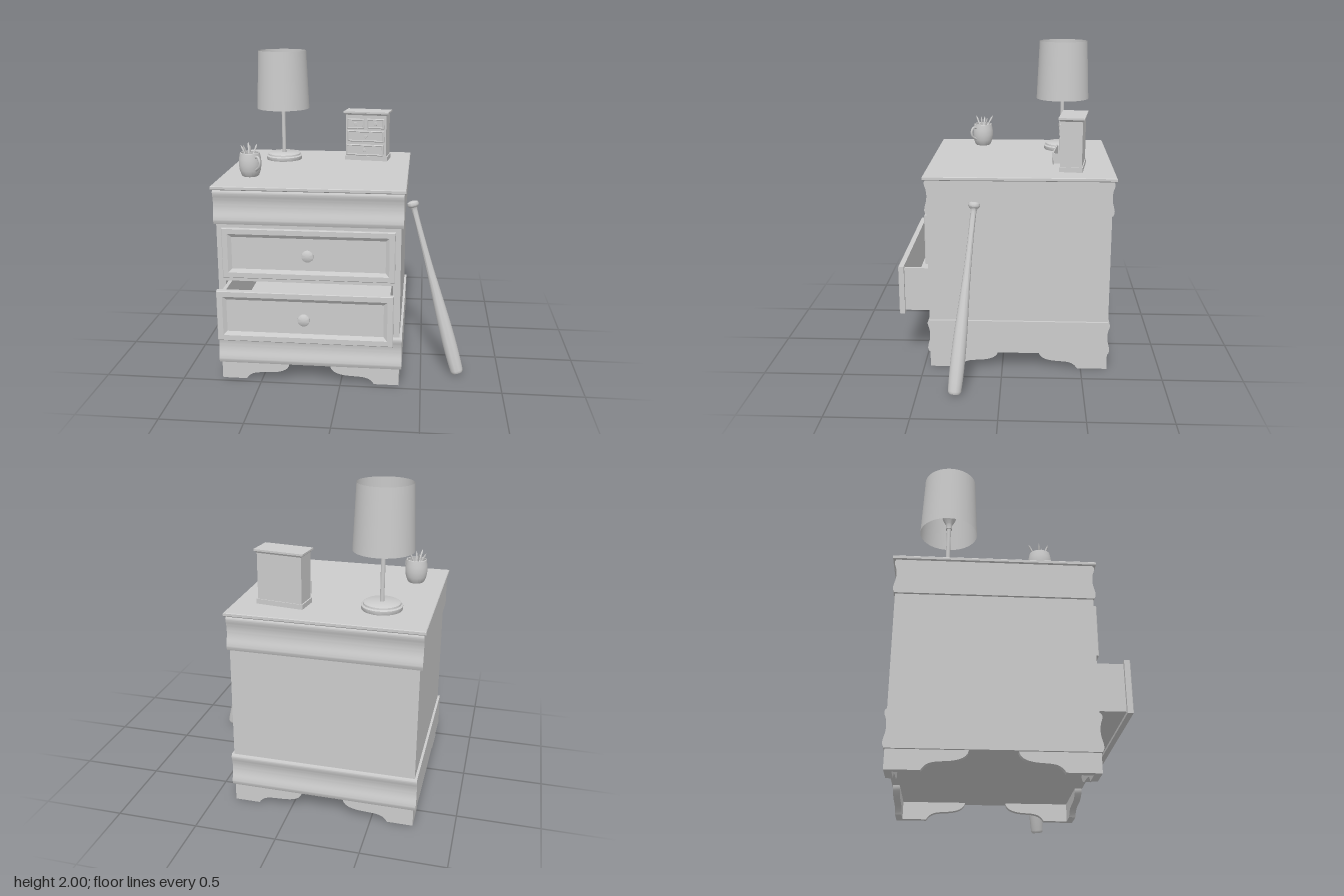
import * as THREE from 'three';
import { toCreasedNormals } from 'three/addons/utils/BufferGeometryUtils.js';

const grey = new THREE.MeshStandardMaterial({ color: 0xcccccc });
const greyDouble = new THREE.MeshStandardMaterial({ color: 0xcccccc, side: THREE.DoubleSide });
const V = (x, y, z) => new THREE.Vector3(x, y, z);

function add(parent, name, geometry, x = 0, y = 0, z = 0, material = grey) {
  const mesh = new THREE.Mesh(geometry, material);
  mesh.name = name;
  mesh.position.set(x, y, z);
  parent.add(mesh);
  return mesh;
}

function group(parent, name, x = 0, y = 0, z = 0) {
  const g = new THREE.Group();
  g.name = name;
  g.position.set(x, y, z);
  parent.add(g);
  return g;
}

// Box given by its minimum and maximum corners
function box(parent, name, [x0, y0, z0], [x1, y1, z1]) {
  return add(parent, name, new THREE.BoxGeometry(x1 - x0, y1 - y0, z1 - z0),
    (x0 + x1) / 2, (y0 + y1) / 2, (z0 + z1) / 2);
}

function lathe(points, segments = 40) {
  return toCreasedNormals(new THREE.LatheGeometry(points.map(p => new THREE.Vector2(...p)), segments), 0.6);
}

// Closed solid from rectangular rings [halfWidth, halfHeight, z], back to front
function rectLoft(rings) {
  const pos = [];
  const corners = rings.map(([w, h, z]) => [[-w, -h, z], [w, -h, z], [w, h, z], [-w, h, z]]);
  const quad = (a, b, c, d) => pos.push(...a, ...b, ...c, ...a, ...c, ...d);
  for (let i = 0; i < rings.length - 1; i++) {
    for (let j = 0; j < 4; j++) {
      const k = (j + 1) % 4;
      quad(corners[i][j], corners[i][k], corners[i + 1][k], corners[i + 1][j]);
    }
  }
  quad(...corners[corners.length - 1]);
  quad(...[...corners[0]].reverse());
  const g = new THREE.BufferGeometry();
  g.setAttribute('position', new THREE.Float32BufferAttribute(pos, 3));
  g.computeVertexNormals();
  return g;
}

// Drawer front with a bevelled, sunken panel
const drawerFace = (w, h, d, border, bevel, sink) => rectLoft([
  [w, h, 0], [w, h, d - 0.004], [w - 0.004, h - 0.004, d],
  [w - border, h - border, d], [w - border - bevel, h - border - bevel, d - sink]]);

function knob(parent, x, y, z, s = 1) {
  const g = lathe([[0, 0], [0.02, 0], [0.015, 0.006], [0.013, 0.014], [0.03, 0.017],
    [0.037, 0.022], [0.036, 0.028], [0.025, 0.033], [0, 0.035]].map(p => p.map(v => v * s)), 28);
  g.rotateX(Math.PI / 2);
  add(parent, 'knob', g, x, y, z);
}

// Open-topped drawer box; front edge at z = 0, running back by depth
function tray(parent, hw, y0, y1, depth, t) {
  box(parent, 'drawerFloor', [-hw, y0, -depth], [hw, y0 + t, 0]);
  box(parent, 'drawerBack', [-hw, y0, -depth], [hw, y1, -depth + t]);
  for (const s of [-1, 1]) {
    const a = s * hw, b = s * (hw - t);
    box(parent, 'drawerSide', [Math.min(a, b), y0, -depth], [Math.max(a, b), y1, 0]);
  }
}

// Foot board with a scrolled cut-out
function bracket(half, inner) {
  const s = new THREE.Shape();
  s.moveTo(-half, 0);
  s.lineTo(-inner, 0);
  s.bezierCurveTo(-inner + 0.03, 0.05, -inner + 0.07, 0.045, -0.24, 0.05);
  s.bezierCurveTo(-0.17, 0.055, -0.135, 0.075, -0.13, 0.11);
  s.lineTo(0.13, 0.11);
  s.bezierCurveTo(0.135, 0.075, 0.17, 0.055, 0.24, 0.05);
  s.bezierCurveTo(inner - 0.07, 0.045, inner - 0.03, 0.05, inner, 0);
  s.lineTo(half, 0);
  s.lineTo(half, 0.115);
  s.lineTo(-half, 0.115);
  const g = new THREE.ExtrudeGeometry(s, { depth: 0.04, bevelEnabled: false, curveSegments: 12 });
  return toCreasedNormals(g.translate(0, 0, -0.02), 0.5);
}

// Wavy band running across the cabinet, curved at front and back
function moulding() {
  const wave = new THREE.CatmullRomCurve3([[0.567, 0], [0.575, 0.022], [0.573, 0.045], [0.563, 0.085],
    [0.56, 0.12], [0.564, 0.155], [0.573, 0.185], [0.574, 0.2], [0.566, 0.215]]
    .map(([z, y]) => V(z, y, 0))).getPoints(28);
  const s = new THREE.Shape([...wave.map(p => new THREE.Vector2(p.x, p.y)),
    ...wave.reverse().map(p => new THREE.Vector2(-p.x, p.y))]);
  const g = new THREE.ExtrudeGeometry(s, { depth: 1.15, bevelEnabled: false });
  return toCreasedNormals(g.translate(0, 0, -0.575).rotateY(-Math.PI / 2), 0.5);
}

function buildCabinet(root) {
  const cab = group(root, 'nightstand', -0.195, 0, -0.103);
  for (const s of [-1, 1]) {
    add(cab, 'footBoard', bracket(0.56, 0.405), 0, 0, s * 0.543);
    add(cab, 'sideFootBoard', bracket(0.563, 0.375), s * 0.54, 0, 0).rotation.y = Math.PI / 2;
    box(cab, 'sidePanel', [s * 0.55 - 0.01, 0.32, -0.563], [s * 0.55 + 0.01, 1.03, 0.563]);
  }
  add(cab, 'lowerMoulding', moulding(), 0, 0.11);
  add(cab, 'upperMoulding', moulding(), 0, 1.022);
  box(cab, 'backPanel', [-0.56, 0.32, -0.563], [0.56, 1.03, -0.543]);
  // Front frame with the opening for the lower drawer
  const frame = new THREE.Shape([[-0.56, 0.32], [0.56, 0.32], [0.56, 1.03], [-0.56, 1.03]]
    .map(p => new THREE.Vector2(...p)));
  frame.holes.push(new THREE.Path([[-0.515, 0.358], [-0.515, 0.66], [0.515, 0.66], [0.515, 0.358]]
    .map(p => new THREE.Vector2(...p))));
  add(cab, 'frontFrame', new THREE.ExtrudeGeometry(frame, { depth: 0.02, bevelEnabled: false }), 0, 0, 0.543);
  add(cab, 'tableTop', rectLoft([[0.58, 0.58, 0], [0.585, 0.585, 0.005], [0.585, 0.585, 0.02],
    [0.581, 0.581, 0.024]]).rotateX(-Math.PI / 2), 0, 1.236, 0);

  const upper = group(cab, 'upperDrawer', 0, 0.843, 0.56);
  add(upper, 'drawerFace', drawerFace(0.527, 0.158, 0.025, 0.035, 0.022, 0.016));
  knob(upper, 0, 0, 0.008);
  upper.children[1].scale.z = 1.3;

  const lower = group(cab, 'lowerDrawer', 0, 0.506, 0.723);
  add(lower, 'drawerFace', drawerFace(0.527, 0.158, 0.035, 0.035, 0.022, 0.016));
  tray(lower, 0.505, -0.142, 0.142, 0.95, 0.022);
  knob(lower, 0, 0, 0.018);
  lower.children[lower.children.length - 1].scale.z = 1.45;
}

function buildLamp(root) {
  const lamp = group(root, 'lamp', -0.48, 1.26, -0.382);
  add(lamp, 'lampBase', lathe([[0, 0], [0.12, 0], [0.123, 0.006], [0.123, 0.024], [0.117, 0.028],
    [0.112, 0.03], [0.11, 0.04], [0.1, 0.046], [0, 0.046]], 48));
  add(lamp, 'lampStem', new THREE.CylinderGeometry(0.013, 0.013, 0.36, 20), 0, 0.22, 0);
  add(lamp, 'bulb', lathe([[0, 0], [0.02, 0], [0.02, 0.035], [0.035, 0.06], [0.044, 0.085],
    [0.042, 0.105], [0.028, 0.124], [0, 0.132]], 28), 0, 0.39, 0);
  add(lamp, 'lampShade', new THREE.CylinderGeometry(0.161, 0.178, 0.387, 48, 1, true), 0, 0.5465, 0, greyDouble);
}

function buildMiniChest(root) {
  const chest = group(root, 'miniatureChest', 0.098, 1.26, -0.434);
  chest.rotation.y = -0.13;
  box(chest, 'plinth', [-0.148, 0, -0.073], [0.148, 0.03, 0.071]);
  box(chest, 'body', [-0.14, 0.03, -0.067], [0.14, 0.318, 0.067]);
  add(chest, 'cap', rectLoft([[0.14, 0.067, 0], [0.15, 0.075, 0.012], [0.155, 0.08, 0.013],
    [0.155, 0.08, 0.024]]).rotateX(-Math.PI / 2), 0, 0.311, 0);
  // Drawers: x, y, half width, half height, pulled-out distance
  for (const [x, y, w, h, out] of [[-0.067, 0.255, 0.06, 0.034, 0.016], [0.067, 0.255, 0.06, 0.034, 0],
    [0, 0.168, 0.128, 0.038, 0], [0, 0.08, 0.128, 0.038, 0.04]]) {
    const d = group(chest, 'miniatureDrawer', x, y, 0.067 + out);
    add(d, 'drawerFace', drawerFace(w, h, 0.01, 0.008, 0.003, 0.003));
    if (out) tray(d, w - 0.006, -h + 0.005, h - 0.008, out + 0.01, 0.005);
    knob(d, 0, 0, 0.006, 0.33);
  }
}

function buildPencilMug(root) {
  const mug = group(root, 'pencilMug', -0.598, 1.26, 0.175);
  add(mug, 'mug', lathe([[0, 0], [0.048, 0], [0.055, 0.008], [0.066, 0.04], [0.071, 0.075], [0.069, 0.11],
    [0.062, 0.148], [0.058, 0.15], [0.056, 0.146], [0.064, 0.1], [0.062, 0.05], [0.045, 0.012], [0, 0.012]]));
  const path = new THREE.CatmullRomCurve3([V(0.062, 0.125, 0), V(0.09, 0.13, 0), V(0.107, 0.105, 0),
    V(0.1, 0.07, 0), V(0.064, 0.045, 0)]);
  add(mug, 'handle', new THREE.TubeGeometry(path, 24, 0.008, 10)).rotation.y = -Math.PI / 4;
  // Pencils leaning outwards from the bottom of the mug
  for (const [x, z, h] of [[-0.06, -0.01, 0.195], [-0.025, -0.07, 0.205], [0.04, -0.035, 0.2],
    [-0.03, 0.05, 0.205], [0.005, 0.012, 0.2]]) {
    const foot = V(-x * 0.5, 0.014, -z * 0.5), dir = V(x, h, z).sub(foot);
    const pencil = add(mug, 'pencil', lathe([[0, 0], [0.006, 0], [0.006, 1 - 0.1], [0.0, 1]]
      .map(([r, t]) => [r, t * dir.length()]), 6), foot.x, foot.y, foot.z);
    pencil.quaternion.setFromUnitVectors(V(0, 1, 0), dir.normalize());
  }
}

function buildBat(root) {
  const top = V(0.421, 1.117, 0.163), end = V(0.735, 0.012, 0.272);
  const dir = top.clone().sub(end), len = dir.length();
  const profile = new THREE.SplineCurve([[0.04, 0.012], [0.043, 0.08], [0.044, 0.2], [0.04, 0.36],
    [0.031, 0.55], [0.022, 0.75], [0.018, 0.95], [0.018, len - 0.07], [0.022, len - 0.04]]
    .map(p => new THREE.Vector2(...p))).getPoints(40).map(p => [p.x, p.y]);
  const bat = add(root, 'baseballBat', lathe([[0, 0], [0.034, 0.002], ...profile,
    [0.034, len - 0.03], [0.037, len - 0.02], [0.034, len - 0.008], [0.02, len - 0.001], [0, len]], 32), end.x, end.y, end.z);
  bat.quaternion.setFromUnitVectors(V(0, 1, 0), dir.normalize());
}

export function createModel() {
  const root = new THREE.Group();
  root.name = 'nightstandSet';
  buildCabinet(root);
  buildLamp(root);
  buildMiniChest(root);
  buildPencilMug(root);
  buildBat(root);
  return root;
}
